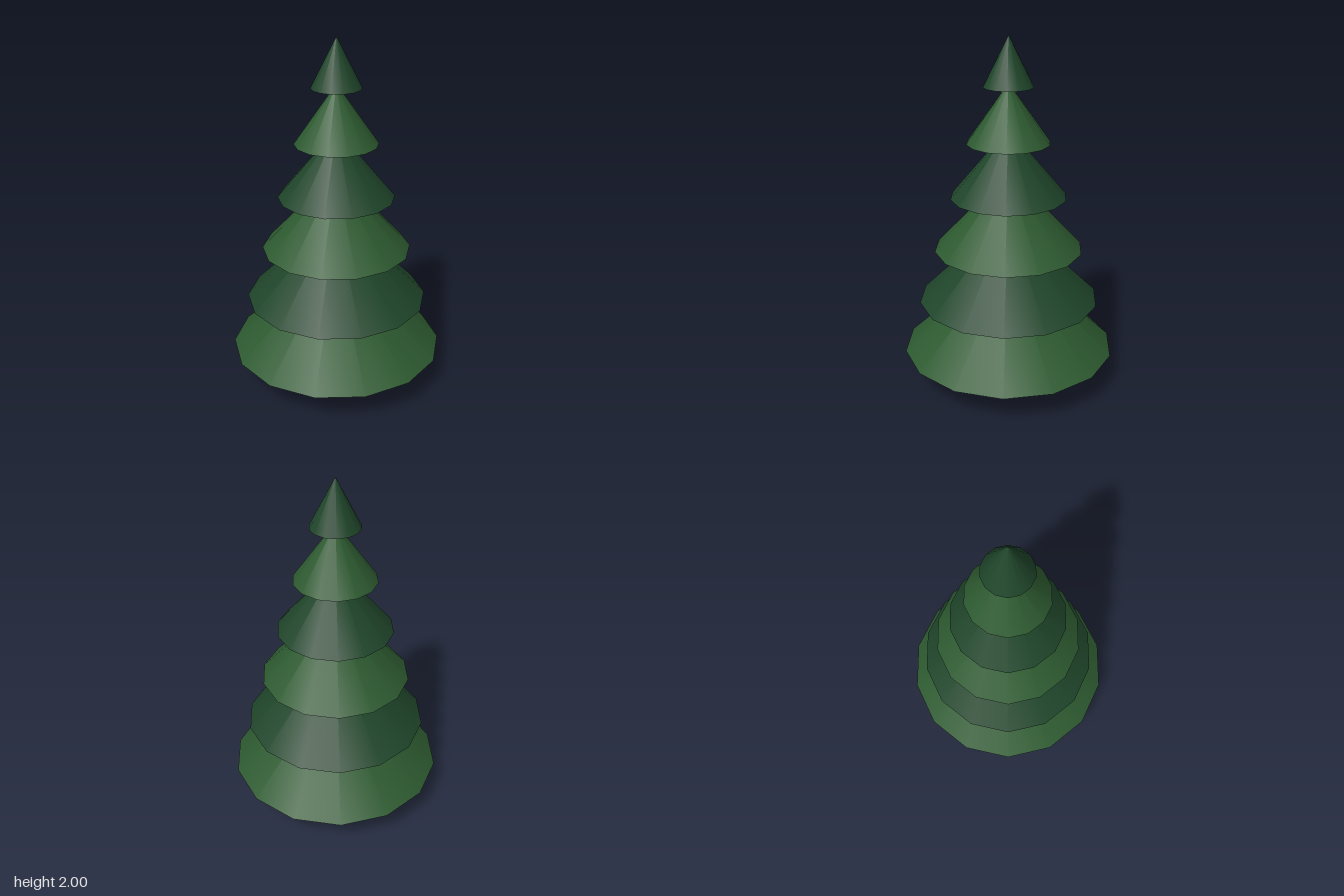
import * as THREE from 'three';

export function createModel() {
  const tree = new THREE.Group();
  tree.name = 'pineTree';

  const bark = new THREE.MeshStandardMaterial({ color: 0x452e21 });
  const lightNeedles = new THREE.MeshStandardMaterial({ color: 0x2d5a30 });
  const darkNeedles = new THREE.MeshStandardMaterial({ color: 0x1f452a });

  function add(name, geometry, material, baseY, height) {
    const mesh = new THREE.Mesh(geometry, material);
    mesh.name = name;
    mesh.position.y = baseY + height / 2;
    tree.add(mesh);
  }

  // Tapered trunk, its top hidden inside the lowest tier
  const trunkHeight = 0.2;
  add('trunk', new THREE.CylinderGeometry(0.09, 0.153, trunkHeight, 10), bark, 0, trunkHeight);

  // Overlapping foliage cones, shrinking evenly and alternating in shade
  const tiers = 6;
  for (let i = 0; i < tiers; i++) {
    const radius = 0.615 - 0.095 * i;
    const height = 0.575 - 0.06 * i;
    const baseY = 0.175 + 0.31 * i;
    add(`foliageTier${i + 1}`, new THREE.ConeGeometry(radius, height, 14),
      i % 2 ? darkNeedles : lightNeedles, baseY, height);
  }

  return tree;
}
